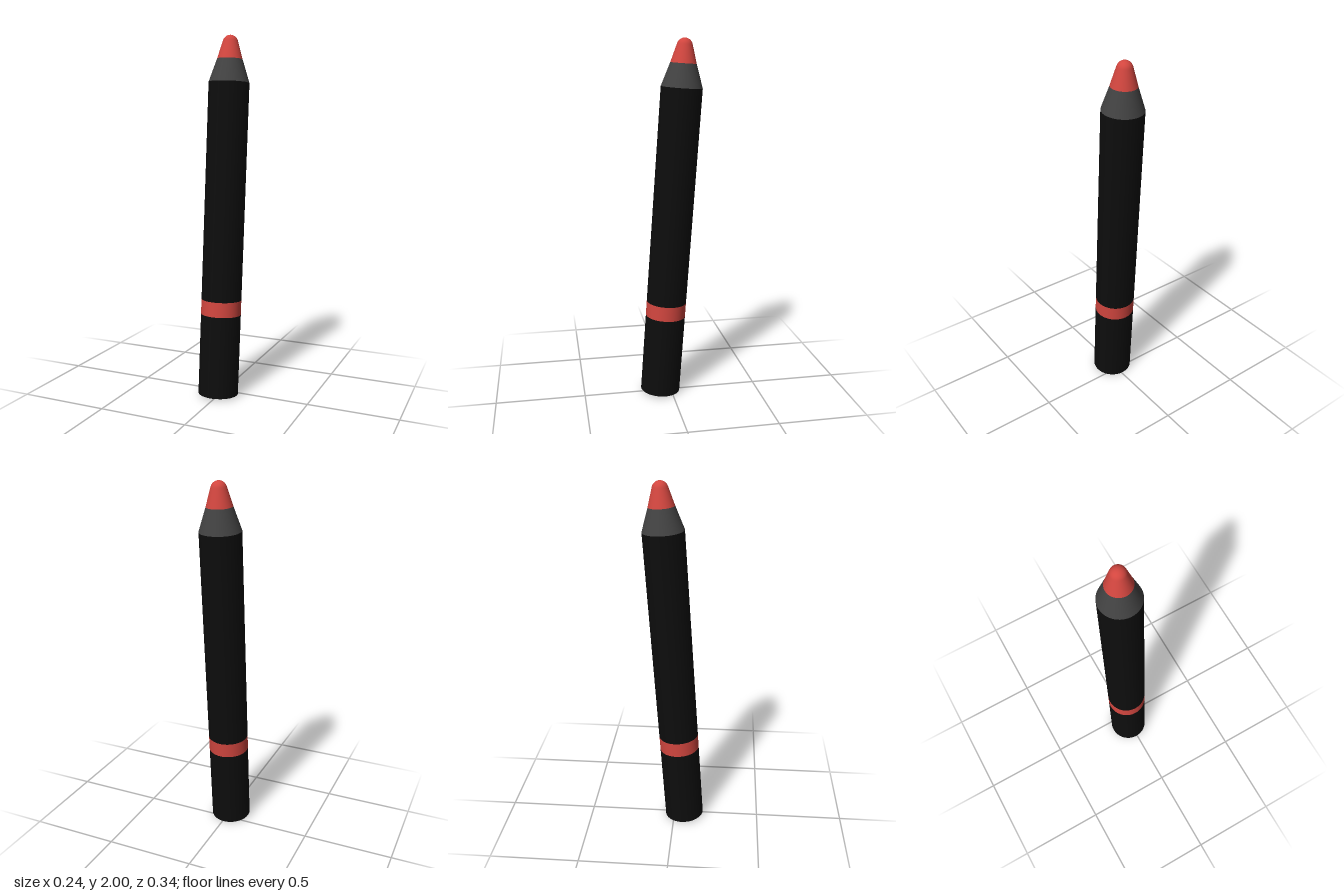
import * as THREE from 'three';

const SIDES = 64;
const RADIUS = 0.112;

export function createModel() {
  const black = new THREE.MeshStandardMaterial({ color: 0x0d0d0d });
  black.name = 'black casing';
  const grey = new THREE.MeshStandardMaterial({ color: 0x424242 });
  grey.name = 'dark grey collar';
  const red = new THREE.MeshStandardMaterial({ color: 0xd2463f });
  red.name = 'red wax';

  const pencil = new THREE.Group();
  pencil.name = 'crayonPencil';

  const add = (name, geometry, material) => {
    const mesh = new THREE.Mesh(geometry, material);
    mesh.name = name;
    pencil.add(mesh);
    return mesh;
  };
  // Straight or tapered section between two heights on the axis
  const section = (name, y0, y1, r0, r1, material, open = true) => {
    const mesh = add(name, new THREE.CylinderGeometry(r1, r0, y1 - y0, SIDES, 1, open), material);
    mesh.position.y = (y0 + y1) / 2;
  };

  // Casing, with a closed base, and the coloured band around it
  section('lowerCasing', 0, 0.456, RADIUS, RADIUS, black, false);
  section('band', 0.456, 0.539, RADIUS, RADIUS, red);
  section('upperCasing', 0.539, 1.741, RADIUS, RADIUS, black);

  // Sharpened collar
  section('sharpenedCollar', 1.741, 1.867, RADIUS, 0.07, grey);

  // Wax point: tapered side running into a rounded end
  const tip = [[0.07, 1.867], [0.056, 1.915], [0.042, 1.962]].map(p => new THREE.Vector2(...p));
  for (let i = 1; i <= 10; i++) {
    const a = 0.2 + (i / 10) * (Math.PI / 2 - 0.2);
    const r = i === 10 ? 0 : 0.0425 * Math.cos(a);
    tip.push(new THREE.Vector2(r, 1.954 + 0.043 * Math.sin(a)));
  }
  add('waxPoint', new THREE.LatheGeometry(tip, SIDES), red);

  // Lean the pencil back with its lower rim on the ground
  const axis = new THREE.Vector3(0.0078, 1, -0.069).normalize();
  pencil.quaternion.setFromUnitVectors(new THREE.Vector3(0, 1, 0), axis);
  pencil.position.set(-0.008, 0.0078, 0.06);

  const model = new THREE.Group();
  model.name = 'leaningPencil';
  model.add(pencil);
  return model;
}
